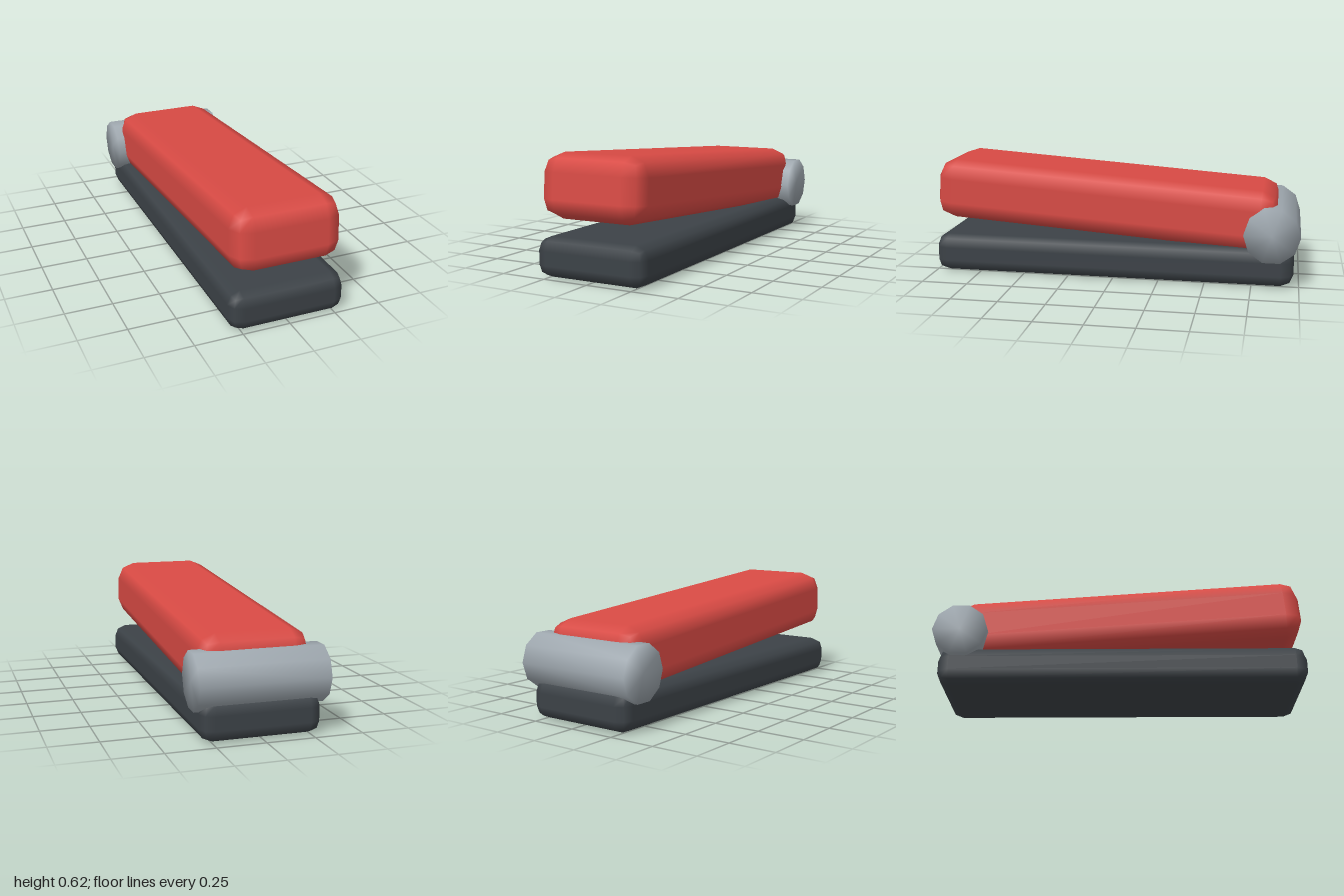
import * as THREE from 'three';
import { RoundedBoxGeometry } from 'three/addons/geometries/RoundedBoxGeometry.js';
import { mergeVertices } from 'three/addons/utils/BufferGeometryUtils.js';

const paint = (name, color) => {
  const material = new THREE.MeshStandardMaterial({ color });
  material.name = name;
  return material;
};

export function createModel() {
  const group = new THREE.Group();
  group.name = 'stapler';

  const add = (name, geometry, material, x, y, z) => {
    const mesh = new THREE.Mesh(geometry, material);
    mesh.name = name;
    mesh.position.set(x, y, z);
    group.add(mesh);
    return mesh;
  };

  // Flat base with softly bevelled edges
  add('base', new RoundedBoxGeometry(0.617, 0.206, 1.97, 1, 0.067),
    paint('charcoal', 0x3c4247), 0, 0.103, 0.015);

  // Upper arm, tilted open towards the front
  const arm = add('upperArm', new RoundedBoxGeometry(0.577, 0.328, 1.88, 1, 0.098),
    paint('red', 0xd84a44), 0, 0.397, 0.057);
  arm.rotation.x = -0.07;

  // Ten-sided hinge barrel across the back, shaded smoothly over its ends
  let barrel = new THREE.CylinderGeometry(0.148, 0.148, 0.66, 10);
  barrel.deleteAttribute('normal');
  barrel.deleteAttribute('uv');
  barrel = mergeVertices(barrel);
  barrel.computeVertexNormals();
  barrel.rotateZ(Math.PI / 2);
  add('hingeBarrel', barrel, paint('steel grey', 0x9ea7ae), 0, 0.289, -0.852);

  return group;
}
